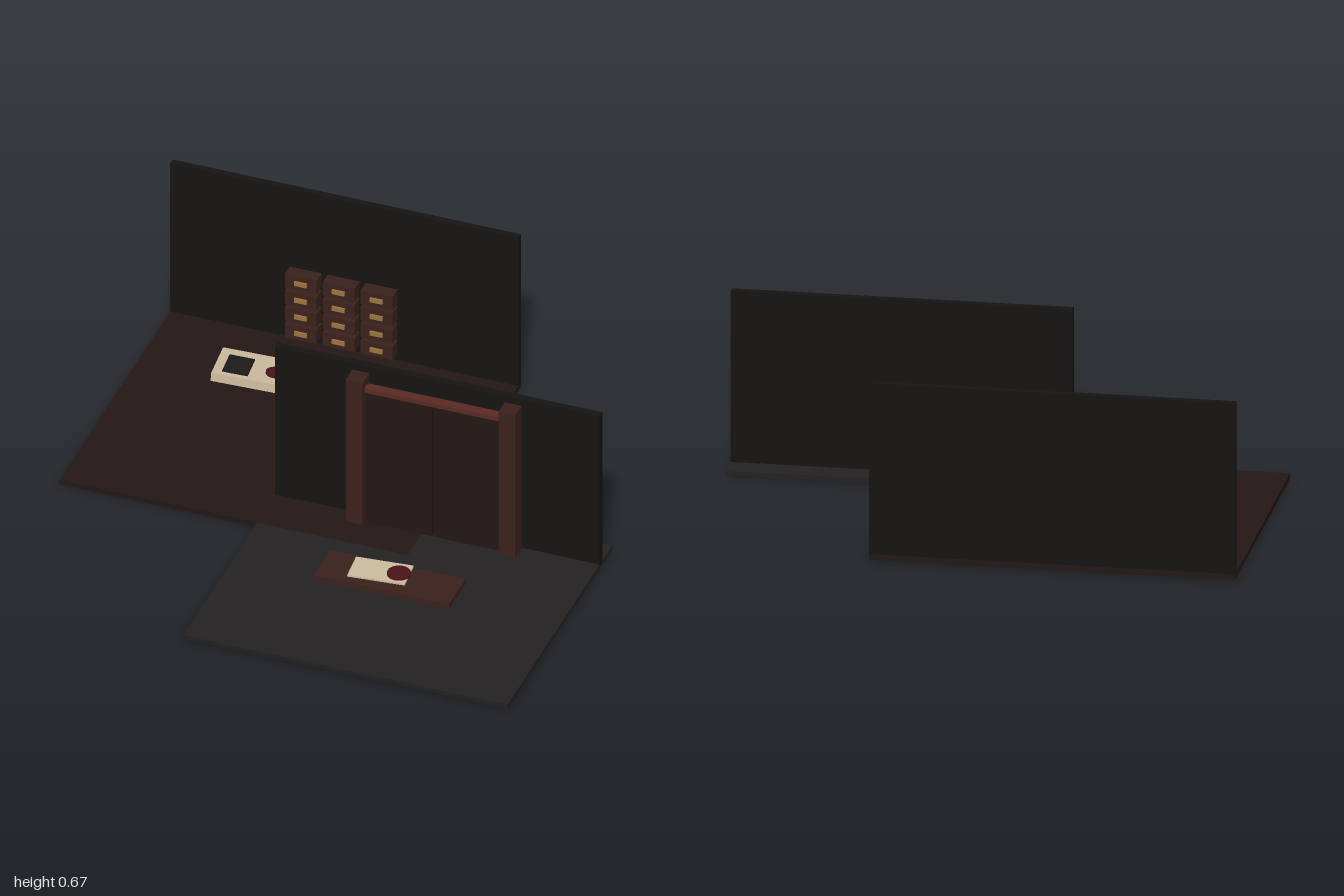
import * as THREE from 'three';

const mat = (color) => new THREE.MeshStandardMaterial({ color });
const M = {
  stone: mat(0x232122), plank: mat(0x231715), wall: mat(0x161412), wood: mat(0x3a211c),
  door: mat(0x231714), red: mat(0x5a2a24), brass: mat(0x9a7440), paper: mat(0xcdbb9f),
  ink: mat(0x1c1a1a), wax: mat(0x4a1419),
};

// Box given by its extents on each axis
function box(parent, name, m, [x0, x1], [y0, y1], [z0, z1]) {
  const mesh = new THREE.Mesh(new THREE.BoxGeometry(x1 - x0, y1 - y0, z1 - z0), m);
  mesh.position.set((x0 + x1) / 2, (y0 + y1) / 2, (z0 + z1) / 2);
  mesh.name = name;
  parent.add(mesh);
  return mesh;
}

// Flat round seal or dish
function disc(parent, name, m, r, h, x, y, z) {
  const mesh = new THREE.Mesh(new THREE.CylinderGeometry(r, r, h, 24), m);
  mesh.position.set(x, y, z);
  mesh.name = name;
  parent.add(mesh);
}

function group(parent, name) {
  const g = new THREE.Group();
  g.name = name;
  parent.add(g);
  return g;
}

export function createModel() {
  const model = new THREE.Group();
  model.name = 'rooms';

  // Front courtyard: floor and wall
  const court = group(model, 'frontRoom');
  box(court, 'frontFloor', M.stone, [-0.245, 0.998], [0.008, 0.025], [-0.112, 0.956]);
  box(court, 'frontWall', M.wall, [-0.245, 0.998], [0.015, 0.672], [-0.01, 0.018]);

  // Gate: two posts, lintel, and a pair of doors over a red backing
  const gate = group(court, 'gate');
  for (const x of [0.052, 0.635]) {
    box(gate, 'gatePost', M.wood, [x, x + 0.064], [0, 0.645], [0.018, 0.085]);
  }
  box(gate, 'lintel', M.red, [0.116, 0.635], [0.592, 0.61], [0.04, 0.068]);
  box(gate, 'doorBacking', M.red, [0.116, 0.635], [0.02, 0.6], [0.018, 0.04]);
  for (const x of [0.121, 0.379]) {
    box(gate, 'doorLeaf', M.door, [x, x + 0.252], [0.022, 0.589], [0.042, 0.064]);
  }

  // Low table with a sheet of paper and a round dish
  const table = group(court, 'table');
  box(table, 'tableTop', M.wood, [0.118, 0.635], [0.112, 0.135], [0.42, 0.588]);
  const sheet = box(table, 'sheet', M.paper, [0.227, 0.441], [0.135, 0.142], [0.425, 0.545]);
  sheet.rotation.y = 0.09;
  disc(table, 'dish', M.wax, 0.043, 0.008, 0.404, 0.145, 0.483);

  // Back room: floor and wall
  const back = group(model, 'backRoom');
  box(back, 'backFloor', M.plank, [-1, 0.332], [0.007, 0.026], [-0.956, 0.203]);
  box(back, 'backWall', M.wall, [-1, 0.332], [0.015, 0.672], [-0.952, -0.926]);

  // Three by four drawers with brass pulls
  const drawers = group(back, 'drawers');
  for (let col = 0; col < 3; col++) {
    for (let row = 0; row < 4; row++) {
      const x = -0.48 + col * 0.145, y = 0.09 + row * 0.0725;
      box(drawers, 'drawer', M.wood, [x - 0.061, x + 0.061], [y - 0.029, y + 0.029], [-0.922, -0.871]);
      box(drawers, 'drawerPull', M.brass, [x - 0.024, x + 0.024], [y - 0.009, y + 0.009], [-0.872, -0.864]);
    }
  }

  // Tilted ledger with a dark plate and a round seal
  const ledger = group(back, 'ledger');
  ledger.position.set(-0.522, 0.144, -0.522);
  ledger.rotation.set(-0.085, 0.13, -0.065, 'YXZ');
  box(ledger, 'ledgerBlock', M.paper, [-0.143, 0.143], [-0.017, 0.017], [-0.094, 0.094]);
  box(ledger, 'darkPlate', M.ink, [-0.108, -0.014], [0.017, 0.023], [-0.045, 0.072]);
  disc(ledger, 'seal', M.wax, 0.033, 0.01, 0.074, 0.021, 0.018);

  return model;
}
